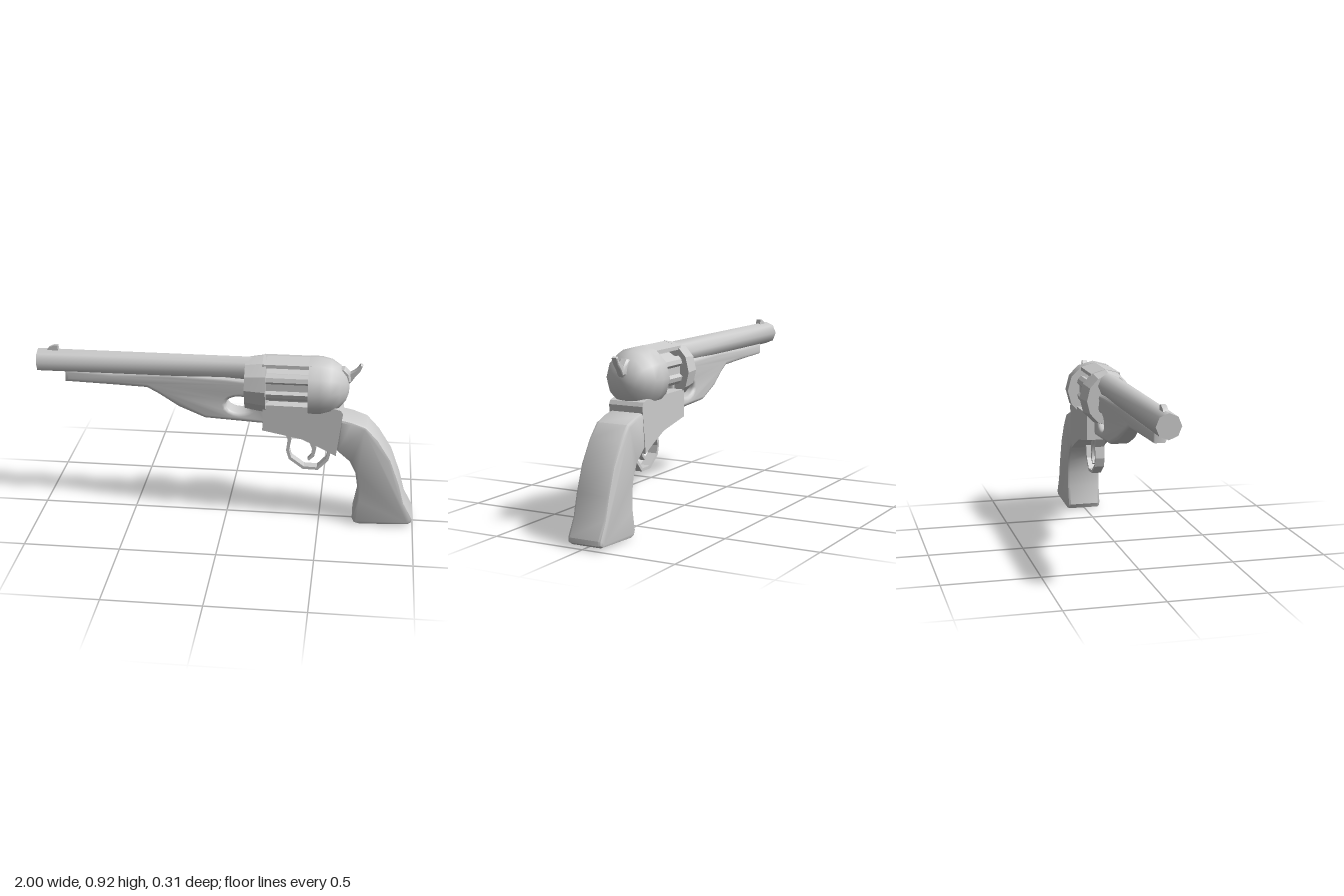
import * as THREE from 'three';
import { toCreasedNormals } from 'three/addons/utils/BufferGeometryUtils.js';

const grey = new THREE.MeshStandardMaterial({ color: 0xcccccc });
const AXIS_Y = 0.757; // height of the cylinder axis

export function createModel() {
  const model = new THREE.Group();

  const add = (name, geometry, crease = 0.6) => {
    const mesh = new THREE.Mesh(toCreasedNormals(geometry, crease), grey);
    mesh.name = name;
    model.add(mesh);
    return mesh;
  };
  const toShape = (pts) => new THREE.Shape(pts.map(([x, y]) => new THREE.Vector2(x, y)));

  // Side outline extruded across z, centred, bevel kept inside the outline
  const slab = (shape, half, bevel = 0, segments = 1) => {
    const geometry = new THREE.ExtrudeGeometry(shape, {
      depth: 2 * (half - bevel), bevelEnabled: bevel > 0, bevelSize: bevel,
      bevelThickness: bevel, bevelOffset: -bevel, bevelSegments: segments, curveSegments: 8,
    });
    return geometry.translate(0, 0, bevel - half);
  };

  // Profile of [x, radius] turned around the x axis
  const turned = (profile, sides, y) =>
    new THREE.LatheGeometry(profile.map(([x, r]) => new THREE.Vector2(r, x)), sides)
      .rotateZ(-Math.PI / 2).translate(0, y, 0);

  // Cross-section of [z, y] extruded along x
  const along = (pts, x0, x1) =>
    new THREE.ExtrudeGeometry(toShape(pts), { depth: x1 - x0, bevelEnabled: false })
      .rotateY(Math.PI / 2).translate(x0, 0, 0);

  // Closed outline of a band following a path, with a thickness per point
  const band = (path, widths) => {
    const sides = [[], []];
    path.forEach(([x, y], i) => {
      const a = path[Math.max(i - 1, 0)], b = path[Math.min(i + 1, path.length - 1)];
      const dx = b[0] - a[0], dy = b[1] - a[1], l = Math.hypot(dx, dy);
      const w = widths[Math.min(i, widths.length - 1)] / 2;
      sides[0].push([x - dy / l * w, y + dx / l * w]);
      sides[1].unshift([x + dy / l * w, y - dx / l * w]);
    });
    return toShape([...sides[0], ...sides[1]]);
  };

  // Barrel and sight
  add('barrel', turned([[-1, 0], [-1, 0.063], [0.15, 0.063]], 8, 0.837), 0.9);
  add('frontSight', slab(toShape([
    [-0.955, 0.89], [-0.89, 0.89], [-0.893, 0.922], [-0.915, 0.92], [-0.94, 0.908],
  ]), 0.013));

  // Housing below the barrel, narrow at the front, with an opening by the ring
  const lug = toShape([
    [-0.855, 0.79], [-0.855, 0.73], [-0.6, 0.722], [-0.42, 0.715], [-0.36, 0.685],
    [-0.25, 0.62], [-0.11, 0.566], [0, 0.56], [0.22, 0.548],
    [0.22, 0.78], [0, 0.8], [-0.3, 0.8], [-0.6, 0.79],
  ]);
  const opening = new THREE.Path();
  opening.absellipse(0.07, 0.648, 0.072, 0.045, 0, Math.PI * 2, true);
  lug.holes.push(opening);
  const lugGeometry = slab(lug, 0.06, 0.02, 3);
  const p = lugGeometry.attributes.position;
  for (let i = 0; i < p.count; i++) {
    const k = THREE.MathUtils.smoothstep(p.getX(i), -0.45, -0.1);
    p.setZ(i, p.getZ(i) * (0.6 + 0.4 * k));
  }
  add('underBarrelHousing', lugGeometry, 0.8);

  // Faceted ring ahead of the cylinder
  add('frontRing', turned(
    [[0.1, 0], [0.1, 0.137], [0.165, 0.149], [0.21, 0.155], [0.21, 0]], 12, AXIS_Y,
  ).scale(1, 1, 0.9), 0.4);

  // Cylinder with six flutes
  const fluted = [];
  for (let i = 0; i < 6; i++) {
    for (const [deg, r] of [[-18, 0.108], [-12, 0.09], [12, 0.09], [18, 0.108], [30, 0.111]]) {
      const a = THREE.MathUtils.degToRad(i * 60 + deg);
      fluted.push([Math.cos(a) * r, 0.768 + Math.sin(a) * r]);
    }
  }
  add('cylinder', along(fluted, 0.2, 0.44), 0.3);

  // Strap over the cylinder
  add('topStrap', along([
    [-0.08, 0.87], [0.08, 0.87], [0.08, 0.889], [0, 0.911], [-0.08, 0.889],
  ], 0.19, 0.45), 0.3);

  // Domed shield behind the cylinder
  add('rearShield', turned([
    [0.43, 0], [0.43, 0.155], [0.49, 0.155], [0.545, 0.142], [0.59, 0.112],
    [0.622, 0.072], [0.635, 0.035], [0.638, 0],
  ], 12, AXIS_Y), 0.6);

  // Hammer: cheeks and a curved spur
  add('hammerCheeks', slab(toShape([
    [0.57, 0.78], [0.62, 0.765], [0.645, 0.79], [0.64, 0.835], [0.61, 0.865], [0.57, 0.86],
  ]), 0.026, 0.01));
  add('hammerSpur', slab(band([
    [0.6, 0.78], [0.635, 0.81], [0.655, 0.828], [0.68, 0.85], [0.697, 0.882],
  ], [0.06, 0.045, 0.03, 0.022, 0.014]), 0.016, 0.004));

  // Lower frame
  add('frame', slab(toShape([
    [0.195, 0.525], [0.4, 0.485], [0.5, 0.44], [0.582, 0.398], [0.607, 0.6],
    [0.612, 0.635], [0.6, 0.655], [0.56, 0.665], [0.195, 0.668],
  ]), 0.095).translate(0, 0, -0.008), 0.4);

  // Trigger and its guard
  add('triggerGuard', slab(band([
    [0.315, 0.51], [0.335, 0.455], [0.325, 0.39], [0.338, 0.345], [0.41, 0.293],
    [0.485, 0.291], [0.535, 0.345], [0.555, 0.43],
  ], [0.035, 0.02, 0.016]), 0.026), 0.4);
  add('trigger', slab(band([
    [0.425, 0.5], [0.45, 0.45], [0.465, 0.4], [0.458, 0.36], [0.435, 0.335],
  ], [0.04, 0.03, 0.022, 0.018, 0.012]), 0.015));

  // Curved grip with a flared butt
  add('grip', slab(toShape([
    [0.595, 0.605], [0.66, 0.592], [0.735, 0.565], [0.8, 0.495], [0.87, 0.385],
    [0.92, 0.25], [0.95, 0.14], [0.998, 0.052], [0.998, 0.028], [0.975, 0.014],
    [0.72, 0.002], [0.69, 0.01], [0.678, 0.035], [0.698, 0.14], [0.7, 0.22],
    [0.688, 0.3], [0.655, 0.365], [0.58, 0.43],
  ]), 0.095, 0.015, 2).translate(0, 0, -0.008), 0.6);

  return model;
}
